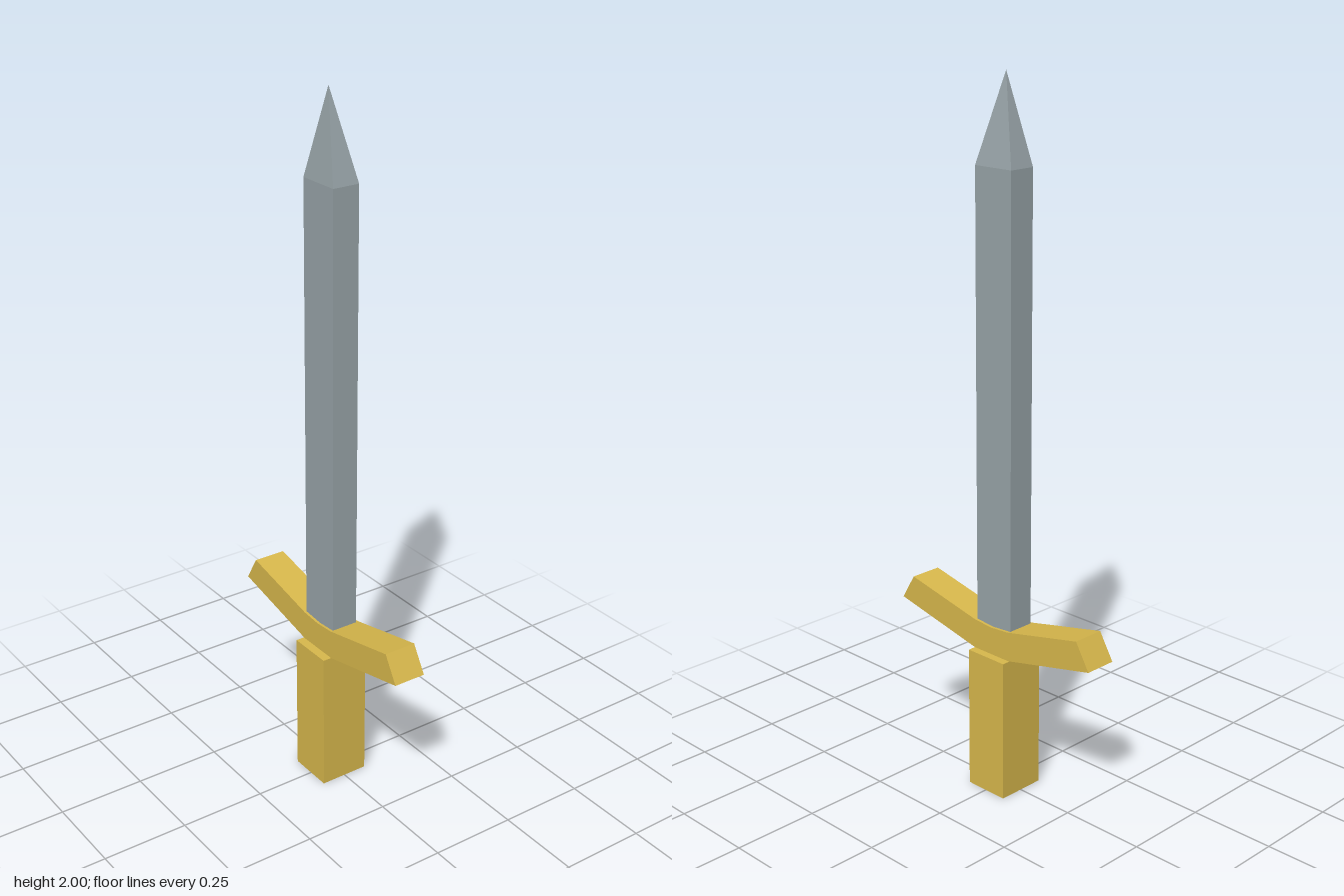
import * as THREE from 'three';
import { ConvexGeometry } from 'three/addons/geometries/ConvexGeometry.js';

export function createModel() {
  const sword = new THREE.Group();
  sword.name = 'sword';
  const gold = new THREE.MeshStandardMaterial({ color: 0xd8b84c, flatShading: true });
  const steel = new THREE.MeshStandardMaterial({ color: 0x98a4a8, flatShading: true });

  const add = (name, geometry, material) => {
    const mesh = new THREE.Mesh(geometry, material);
    mesh.name = name;
    sword.add(mesh);
    return mesh;
  };

  // Grip: plain block
  add('grip', new THREE.BoxGeometry(0.144, 0.415, 0.134), gold)
    .position.set(-0.001, 0.2075, -0.002);

  // Crossguard: two upswept arms, profile drawn in z-y and extruded along x
  const half = [[0.065, 0.415], [0.36, 0.48], [0.315, 0.555], [0.063, 0.5]];
  const mirrored = half.map(([z, y]) => [-z, y]).reverse();
  const profile = [...half, [0, 0.495], ...mirrored];
  const guardWidth = 0.095;
  const guard = new THREE.ExtrudeGeometry(
    new THREE.Shape(profile.map(([z, y]) => new THREE.Vector2(z, y))),
    { depth: guardWidth, bevelEnabled: false }
  );
  guard.translate(0, 0, -guardWidth / 2).rotateY(-Math.PI / 2);
  add('crossguard', guard, gold);

  // Blade: square-cut bar ending in a slightly off-centre point
  const points = [new THREE.Vector3(-0.008, 2, -0.002)];
  for (const y of [0.47, 1.76])
    for (const x of [-0.04, 0.039])
      for (const z of [-0.066, 0.063]) points.push(new THREE.Vector3(x, y, z));
  add('blade', new ConvexGeometry(points), steel);

  return sword;
}
